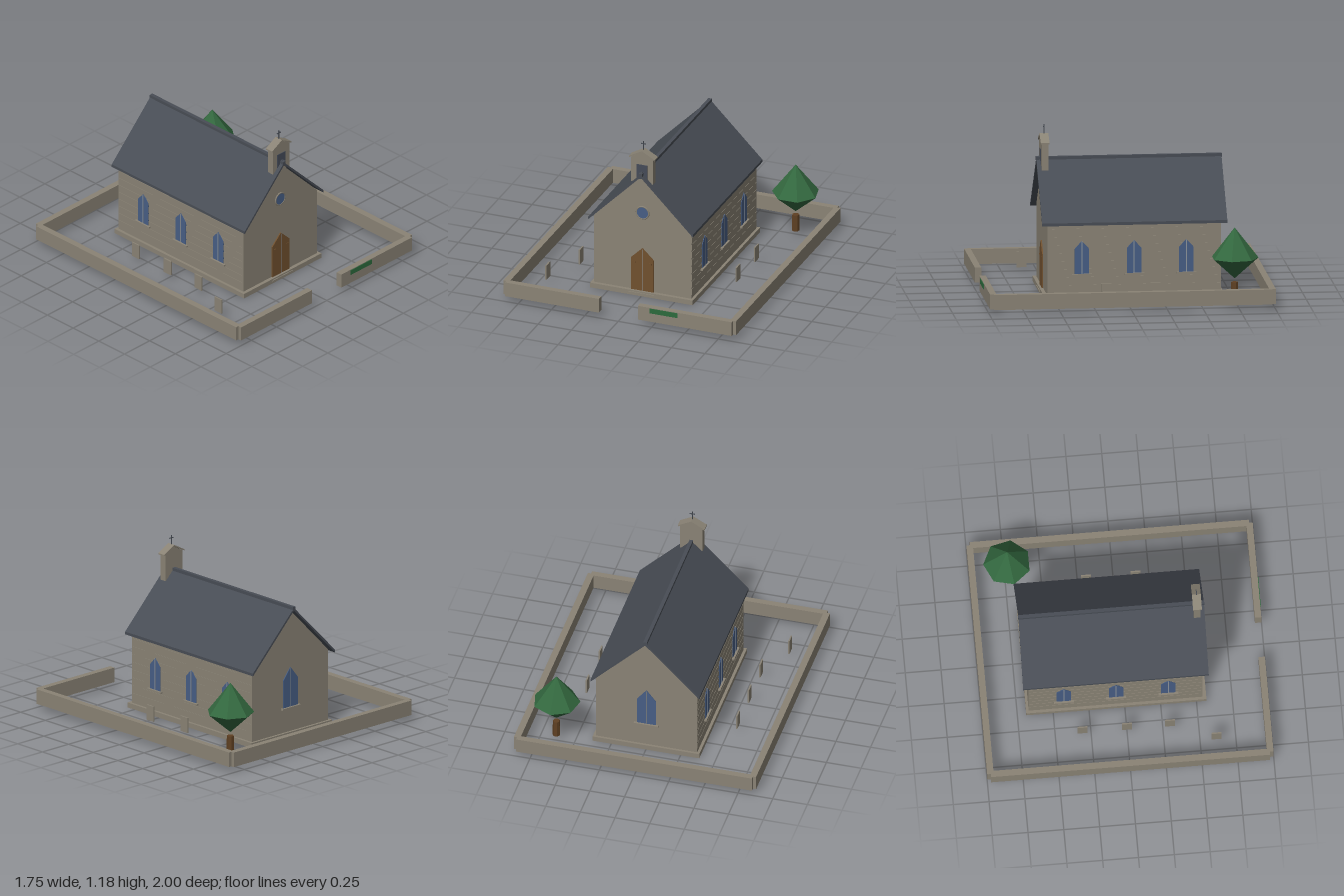
import * as THREE from 'three';

const mat = (name, color) => {
  const m = new THREE.MeshStandardMaterial({ color });
  m.name = name;
  return m;
};

export function createModel() {
  const model = new THREE.Group();
  model.name = 'chapel';
  const stone = mat('stone', 0x8a8375);
  const slate = mat('slate', 0x484d55);
  const glass = mat('window glass', 0x475e85);
  const wood = mat('door wood', 0x70502e);
  const bark = mat('bark', 0x5f4022);
  const leaf = mat('foliage', 0x33683f);
  const signGreen = mat('sign green', 0x2c6a3c);
  const recess = mat('belfry recess', 0x454b58);
  const lead = mat('pale glazing bar', 0x8e959c);

  const add = (name, geo, material, x = 0, y = 0, z = 0, parent = model) => {
    const mesh = new THREE.Mesh(geo, material);
    mesh.name = name;
    mesh.position.set(x, y, z);
    parent.add(mesh);
    return mesh;
  };
  // Box given by its limits on each axis
  const box = (name, material, [x0, x1], [y0, y1], [z0, z1], parent = model) =>
    add(name, new THREE.BoxGeometry(x1 - x0, y1 - y0, z1 - z0), material,
      (x0 + x1) / 2, (y0 + y1) / 2, (z0 + z1) / 2, parent);
  // Outline in x and y, extruded from z0 to z1
  const slab = (name, material, pts, z0, z1, parent = model) => {
    const shape = new THREE.Shape(pts.map(([x, y]) => new THREE.Vector2(x, y)));
    const geo = new THREE.ExtrudeGeometry(shape, { depth: z1 - z0, bevelEnabled: false });
    return add(name, geo, material, 0, 0, z0, parent);
  };
  const house = (w, y0, spring, apex) =>
    [[-w, y0], [w, y0], [w, spring], [0, apex], [-w, spring]];
  const chevron = (w, eave, apex, t) =>
    [[-w, eave], [-w, eave - t], [0, apex - t], [w, eave - t], [w, eave], [0, apex]];
  const faceted = (geo) => {
    const g = geo.toNonIndexed();
    g.computeVertexNormals();
    return g;
  };

  // Main building
  box('plinth', stone, [-0.385, 0.385], [0, 0.036], [-0.688, 0.57]);
  slab('nave walls', stone, house(0.365, 0.036, 0.55, 0.92), -0.67, 0.545);
  slab('roof', slate, chevron(0.392, 0.552, 0.945, 0.02), -0.71, 0.585);
  box('ridge cap', slate, [-0.013, 0.013], [0.925, 0.953], [-0.712, 0.587]);
  box('door step', stone, [-0.1, 0.1], [0.014, 0.025], [0.56, 0.576]);

  // Stone courses along the side walls
  for (const s of [-1, 1])
    for (let i = 0; i < 8; i++)
      add('stone course', new THREE.BoxGeometry(0.003, 0.045, 1.2), stone,
        s * 0.3655, 0.085 + i * 0.057, -0.0625);

  // Pointed window with glazing bar and sill, facing +z before it is turned
  const pointedWindow = (name, x, z, turn, w, y0, spring, apex) => {
    const g = new THREE.Group();
    g.name = name;
    slab('glass', glass, house(w, y0, spring, apex), 0, 0.006, g);
    box('glazing bar', lead, [-0.003, 0.003], [y0, apex - 0.005], [0.004, 0.008], g);
    box('sill', stone, [-w - 0.02, w + 0.02], [y0 - 0.012, y0], [-0.005, 0.02], g);
    g.position.set(x, 0, z);
    g.rotation.y = turn;
    model.add(g);
  };
  for (const s of [-1, 1])
    for (const z of [0.305, -0.06, -0.425])
      pointedWindow('side window', s * 0.365, z, s * Math.PI / 2, 0.05, 0.188, 0.365, 0.42);
  pointedWindow('back window', 0, -0.67, Math.PI, 0.068, 0.217, 0.42, 0.505);

  // Front door and round window
  slab('door', wood, house(0.085, 0.036, 0.28, 0.362), 0.545, 0.554);
  box('door gap', lead, [-0.002, 0.002], [0.036, 0.355], [0.552, 0.556]);
  for (const s of [-1, 1])
    box('door hinge', wood, [s * 0.06 - 0.012, s * 0.06 + 0.012], [0.245, 0.255], [0.552, 0.557]);
  add('round window', new THREE.CircleGeometry(0.042, 24), glass, 0, 0.635, 0.549);
  add('round window surround', new THREE.TorusGeometry(0.046, 0.006, 6, 24), stone, 0, 0.635, 0.546);

  // Bellcote and cross
  slab('bellcote', stone, house(0.082, 0.87, 1.06, 1.105), 0.507, 0.555);
  slab('bellcote cap', stone, chevron(0.096, 1.066, 1.118, 0.01), 0.501, 0.563);
  box('bell opening', recess, [-0.04, 0.04], [0.9, 1.01], [0.553, 0.559]);
  add('bell', new THREE.CylinderGeometry(0.007, 0.015, 0.025, 10), slate, 0, 0.945, 0.562);
  box('cross upright', slate, [-0.003, 0.003], [1.11, 1.183], [0.529, 0.535]);
  box('cross arm', slate, [-0.018, 0.018], [1.16, 1.166], [0.529, 0.535]);

  // Boundary wall with a gate gap at the front
  const h = [0.04, 0.146];
  for (const s of [-1, 1]) {
    const x = s * 0.85;
    box('side boundary wall', stone, [x - 0.023, x + 0.023], h, [-0.975, 0.972]);
    box('front boundary wall', stone, s > 0 ? [0.146, 0.85] : [-0.85, -0.146], h, [0.953, 0.998]);
  }
  box('back boundary wall', stone, [-0.85, 0.85], h, [-1, -0.955]);
  box('notice board', signGreen, [0.235, 0.445], [0.106, 0.142], [0.996, 1.002]);

  // Gravestones
  for (const [x, z] of [[-0.56, -0.31], [-0.56, 0], [-0.56, 0.3], [-0.683, 0.615],
    [0.557, -0.19], [0.557, 0.155]])
    box('gravestone', stone, [x - 0.005, x + 0.005], [0.04, 0.15], [z - 0.035, z + 0.035]);

  // Tree
  const [tx, tz] = [0.632, -0.735];
  add('tree trunk', faceted(new THREE.CylinderGeometry(0.025, 0.028, 0.12, 7)), bark, tx, 0.1, tz);
  add('upper foliage', faceted(new THREE.ConeGeometry(0.167, 0.215, 7, 1, true).rotateY(Math.PI)),
    leaf, tx, 0.4375, tz);
  add('lower foliage', faceted(new THREE.ConeGeometry(0.167, 0.145, 7, 1, true).rotateX(Math.PI)),
    leaf, tx, 0.2575, tz);

  return model;
}
